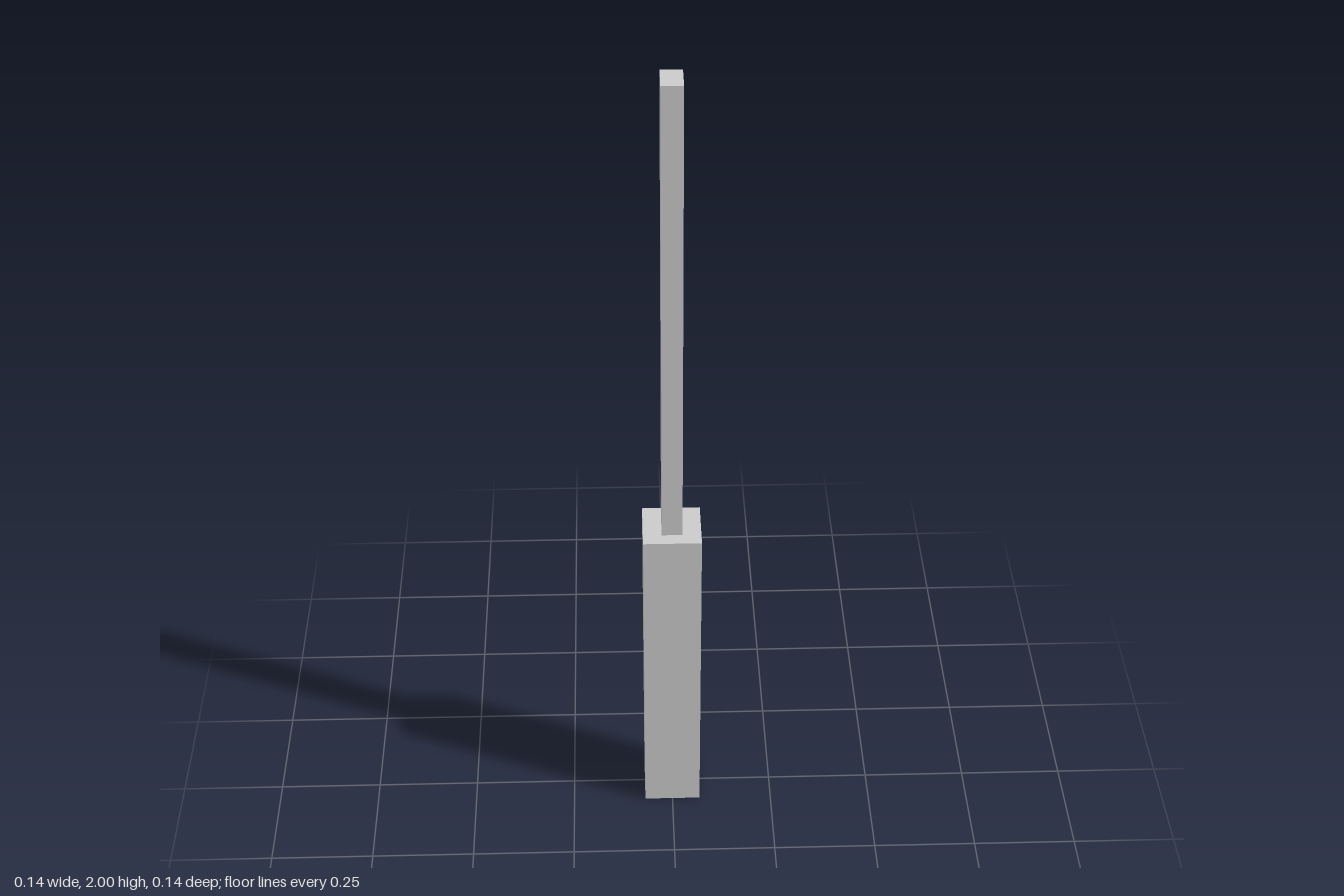
import * as THREE from 'three';

const material = new THREE.MeshStandardMaterial({ color: 0xcccccc, flatShading: true });

// Box standing on height y0
function block(name, width, height, depth, y0) {
  const mesh = new THREE.Mesh(new THREE.BoxGeometry(width, height, depth), material);
  mesh.name = name;
  mesh.position.y = y0 + height / 2;
  return mesh;
}

export function createModel() {
  const group = new THREE.Group();
  group.name = 'post';
  const baseHeight = 0.83;

  // Thick square lower section
  group.add(block('base', 0.138, baseHeight, 0.138, 0));
  // Slim rectangular upper section, deeper than wide
  group.add(block('shaft', 0.049, 2 - baseHeight, 0.073, baseHeight));

  return group;
}
